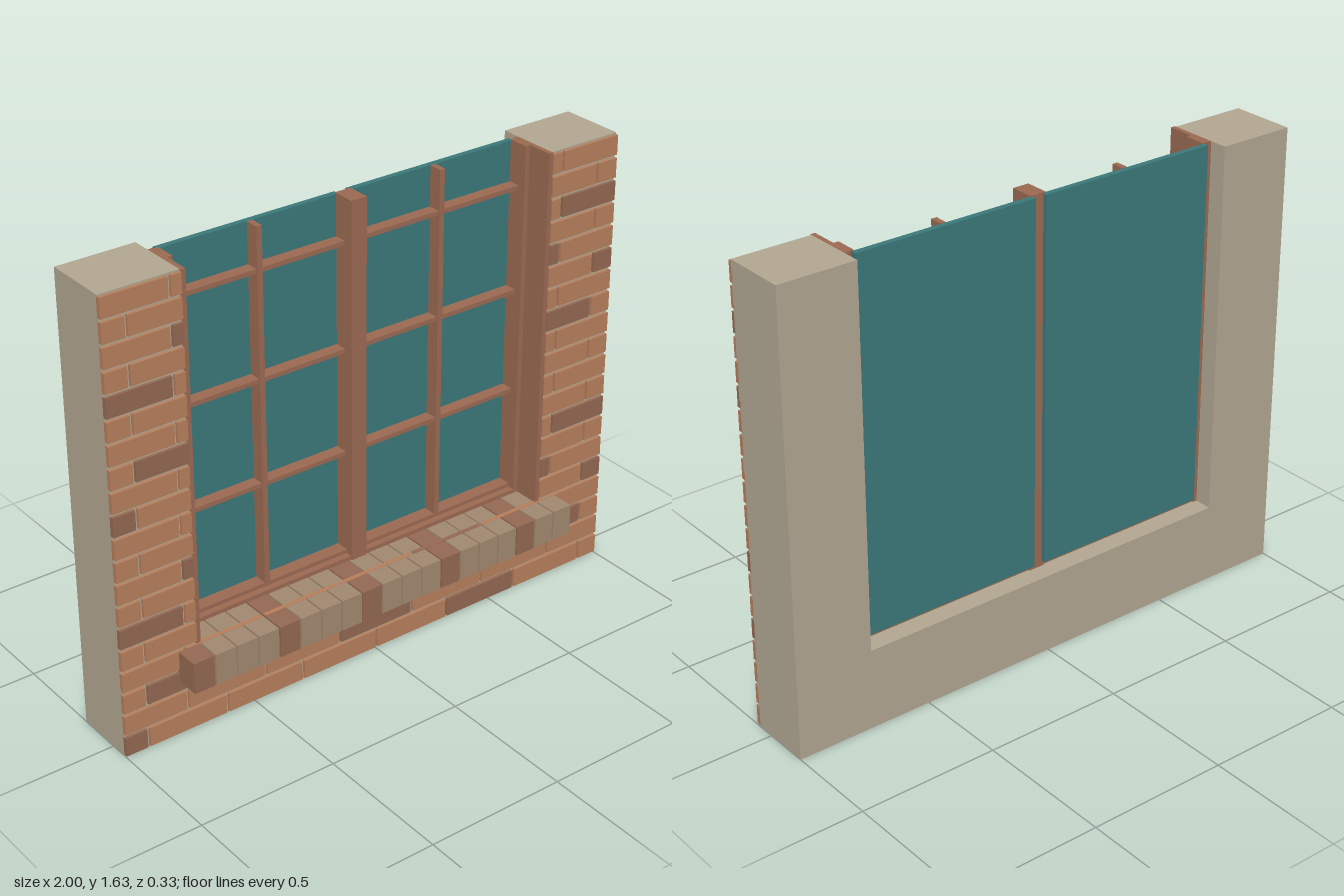
import * as THREE from 'three';

const material = (name, color) => {
  const m = new THREE.MeshStandardMaterial({ color });
  m.name = name;
  return m;
};

export function createModel() {
  const model = new THREE.Group();
  model.name = 'brickWindow';
  const mortar = material('mortar', 0xb0a590);
  const brick = material('brick', 0xb57d5b);
  const darkBrick = material('dark brick', 0x926851);
  const sillBrick = material('sill brick', 0xa0876f);
  const wood = material('frame wood', 0x996951);
  const glass = material('glass', 0x3b7779);

  const group = (name) => {
    const g = new THREE.Group();
    g.name = name;
    model.add(g);
    return g;
  };
  // Box given by its lower and upper limits on each axis
  const box = (parent, name, mat, x0, x1, y0, y1, z0, z1) => {
    const mesh = new THREE.Mesh(new THREE.BoxGeometry(x1 - x0, y1 - y0, z1 - z0), mat);
    mesh.position.set((x0 + x1) / 2, (y0 + y1) / 2, (z0 + z1) / 2);
    mesh.name = name;
    parent.add(mesh);
  };

  const H = 1.626, OPEN = 0.72, LEDGE = 0.29;

  // U-shaped wall core
  const outline = new THREE.Shape([
    [-1, 0], [1, 0], [1, H], [OPEN, H], [OPEN, LEDGE], [-OPEN, LEDGE], [-OPEN, H], [-1, H],
  ].map(([x, y]) => new THREE.Vector2(x, y)));
  const wall = new THREE.Mesh(
    new THREE.ExtrudeGeometry(outline, { depth: 0.234, bevelEnabled: false }), mortar);
  wall.position.z = -0.165;
  wall.name = 'wall';
  model.add(wall);

  // Brick facing in running bond, cut at the opening
  const facing = group('brickFacing');
  const rows = 20, rowH = H / rows, pitch = 0.305, gap = 0.005;
  for (let r = 0; r < rows; r++) {
    const start = r % 2 ? -3.5 * pitch : -4 * pitch;
    for (let i = 0; i < (r % 2 ? 7 : 8); i++) {
      const a = Math.max(-1, start + i * pitch + gap);
      const b = Math.min(1, start + (i + 1) * pitch - gap);
      const mat = (2 * i - r + 20) % 5 === 0 ? darkBrick : brick;
      const spans = r < 4 ? [[a, b]] : [[a, Math.min(b, -OPEN)], [Math.max(a, OPEN), b]];
      for (const [x0, x1] of spans) {
        if (x1 - x0 > 0.005) {
          box(facing, 'brick', mat, x0, x1, r * rowH + 0.006, (r + 1) * rowH - 0.006, 0.064, 0.08);
        }
      }
    }
  }

  // Projecting sill of upright bricks
  const sill = group('sill');
  const sillPitch = 1.585 / 19;
  for (let i = 0; i < 19; i++) {
    const x = -0.7925 + i * sillPitch;
    box(sill, 'sillBrick', i % 4 ? sillBrick : darkBrick,
      x + 0.003, x + sillPitch - 0.003, 0.204, 0.318, -0.02, 0.165);
  }

  // Window frame: reveals, stiles, bottom rail and mullion
  const frame = group('windowFrame');
  for (const s of [-1, 1]) {
    const side = (name, a, b, ...rest) =>
      box(frame, name, wood, Math.min(s * a, s * b), Math.max(s * a, s * b), ...rest);
    side('reveal', 0.703, OPEN, LEDGE, H, -0.1, 0.075);
    side('stile', 0.685, 0.703, LEDGE, H, -0.095, -0.02);
  }
  box(frame, 'bottomRail', wood, -0.703, 0.703, LEDGE, 0.332, -0.095, -0.021);
  box(frame, 'bottomBead', wood, -0.685, 0.685, 0.332, 0.346, -0.095, -0.045);
  box(frame, 'mullion', wood, -0.03, 0.03, LEDGE, H, -0.1, -0.015);

  // Two glazed sashes with muntin bars
  for (const s of [-1, 1]) {
    const sash = group(s < 0 ? 'rightSash' : 'leftSash');
    const cx = s * 0.357;
    box(sash, 'pane', glass, cx - 0.336, cx + 0.336, 0.31, H - 0.004, -0.115, -0.094);
    box(sash, 'verticalMuntin', wood, cx - 0.01, cx + 0.01, 0.34, H - 0.004, -0.094, -0.045);
    for (const y of [0.715, 1.092, 1.471]) {
      box(sash, 'horizontalMuntin', wood, cx - 0.33, cx + 0.33, y - 0.008, y + 0.008, -0.094, -0.05);
    }
  }
  return model;
}
